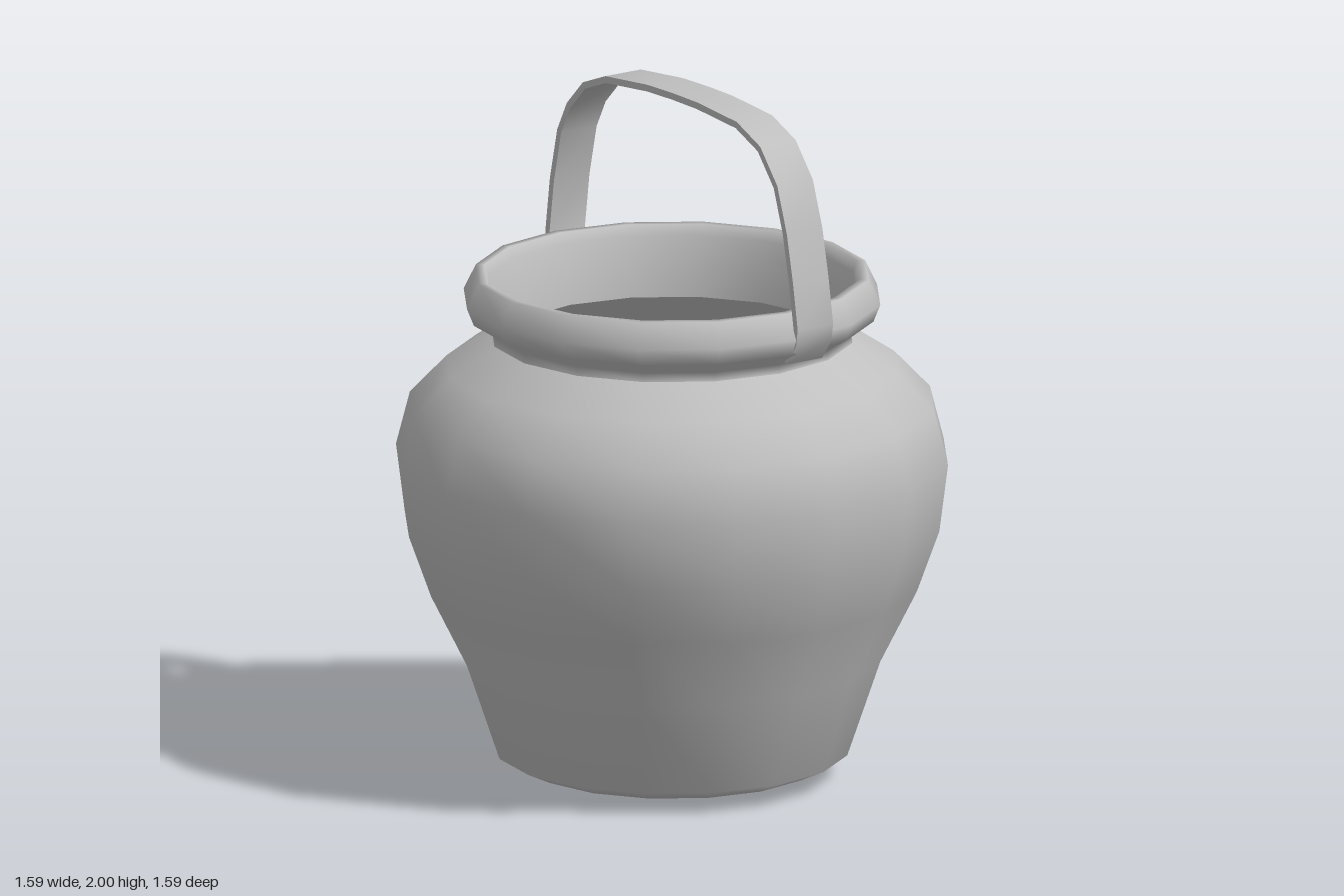
import * as THREE from 'three';
import { toCreasedNormals } from 'three/addons/utils/BufferGeometryUtils.js';

const SIDES = 16;

// Turned part from [radius, height] pairs
function turned(name, profile, material) {
  const points = profile.map(([r, y]) => new THREE.Vector2(r, y));
  const mesh = new THREE.Mesh(new THREE.LatheGeometry(points, SIDES), material);
  mesh.name = name;
  return mesh;
}

// Flat band following a centre line in the xy plane, extruded along z
function band(name, path, thickness, zMin, zMax, material) {
  const pts = path.map(([x, y]) => new THREE.Vector2(x, y));
  const offset = (side) => pts.map((p, i) => {
    const a = pts[Math.max(i - 1, 0)];
    const b = pts[Math.min(i + 1, pts.length - 1)];
    const t = b.clone().sub(a).normalize();
    return new THREE.Vector2(p.x - t.y * side, p.y + t.x * side);
  });
  const outline = [...offset(thickness / 2), ...offset(-thickness / 2).reverse()];
  const geometry = new THREE.ExtrudeGeometry(new THREE.Shape(outline), {
    depth: zMax - zMin, bevelEnabled: false,
  });
  geometry.translate(0, 0, zMin);
  const mesh = new THREE.Mesh(toCreasedNormals(geometry, 0.8), material);
  mesh.name = name;
  return mesh;
}

export function createModel() {
  const grey = new THREE.MeshStandardMaterial({ color: 0xbfbfbf });
  grey.name = 'plain grey';

  const pot = new THREE.Group();
  pot.name = 'pot';

  // Outer belly, from the base centre up to the neck
  pot.add(turned('outerBody', [
    [0, 0.005], [0.3, 0.012], [0.43, 0.035], [0.505, 0.07], [0.6, 0.35],
    [0.705, 0.56], [0.77, 0.74], [0.795, 0.935], [0.755, 1.09],
    [0.65, 1.2], [0.52, 1.285],
  ], grey));

  // Rolled rim, from the outer neck over the lip and down the throat
  pot.add(turned('rim', [
    [0.52, 1.285], [0.515, 1.31], [0.58, 1.35], [0.6, 1.4], [0.565, 1.472],
    [0.54, 1.472], [0.53, 1.44], [0.51, 1.39], [0.495, 1.31], [0.49, 1.27],
  ], grey));

  // Inner wall and floor
  pot.add(turned('innerWall', [
    [0.49, 1.27], [0.62, 1.16], [0.705, 1.07], [0.74, 0.93], [0.715, 0.75],
    [0.65, 0.57], [0.55, 0.36], [0.46, 0.11], [0.4, 0.075], [0.28, 0.06], [0, 0.055],
  ], grey));

  // Carrying handle, tucked under the rim at both ends
  pot.add(band('handle', [
    [-0.545, 1.325], [-0.59, 1.385], [-0.602, 1.46], [-0.58, 1.62], [-0.545, 1.77],
    [-0.5, 1.855], [-0.425, 1.93], [-0.32, 1.97], [-0.12, 1.988], [0, 1.99],
    [0.12, 1.988], [0.31, 1.972], [0.42, 1.925], [0.5, 1.83], [0.545, 1.7],
    [0.575, 1.56], [0.597, 1.43], [0.59, 1.385], [0.545, 1.325],
  ], 0.02, -0.125, 0, grey));

  return pot;
}
